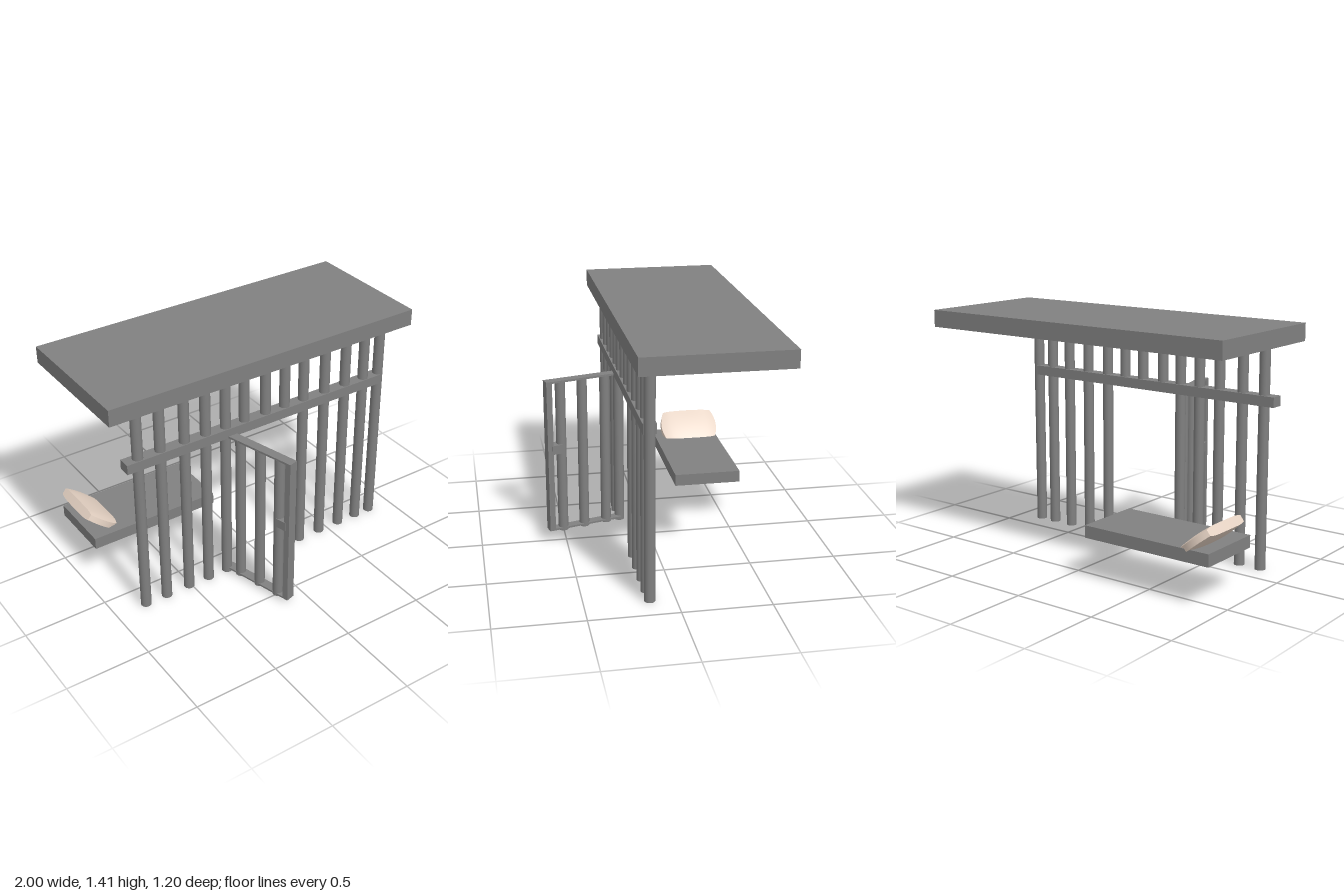
import * as THREE from 'three';

const grey = new THREE.MeshStandardMaterial({ color: 0x808080 });
const cream = new THREE.MeshStandardMaterial({ color: 0xe6d3c4 });

// Box given by its minimum and maximum corners
function box(name, x0, x1, y0, y1, z0, z1) {
  const mesh = new THREE.Mesh(new THREE.BoxGeometry(x1 - x0, y1 - y0, z1 - z0), grey);
  mesh.position.set((x0 + x1) / 2, (y0 + y1) / 2, (z0 + z1) / 2);
  mesh.name = name;
  return mesh;
}

// Upright round bar
function bar(name, x, z, y0, y1, r = 0.031) {
  const mesh = new THREE.Mesh(new THREE.CylinderGeometry(r, r, y1 - y0, 16), grey);
  mesh.position.set(x, (y0 + y1) / 2, z);
  mesh.name = name;
  return mesh;
}

// Cushion: a subdivided box, thick in the middle, with bowed sides
function makePillow() {
  const L = 0.21, T = 0.072, W = 0.32;
  const geo = new THREE.BoxGeometry(L, T, W, 8, 2, 12);
  const p = geo.attributes.position;
  for (let i = 0; i < p.count; i++) {
    const u = p.getX(i) / (L / 2), v = p.getY(i) / (T / 2), w = p.getZ(i) / (W / 2);
    const thick = 0.78 + 0.22 * (1 - u * u) * (1 - w * w);
    p.setXYZ(i,
      (L / 2) * u * (1 + 0.05 * (1 - w * w)),
      (T / 2) * v * thick * (1 - 0.35 * w ** 6),
      (W / 2) * w * (1 + 0.15 * (1 - u * u)));
  }
  geo.computeVertexNormals();
  const pillow = new THREE.Mesh(geo, cream);
  pillow.name = 'pillow';
  pillow.position.set(-0.845, 0.357, -0.418);
  pillow.rotation.z = -0.67;
  return pillow;
}

// Open door, built along +z from its hinge
function makeDoor() {
  const door = new THREE.Group();
  door.name = 'door';
  const h = 0.028;
  door.add(
    box('doorEndPost', -h, h, 0.02, 0.962, 0.43, 0.465),
    box('doorTopRail', -h, h, 0.95, 0.962, 0, 0.465),
    box('doorBottomRail', -h, h, 0.02, 0.031, 0, 0.465),
    box('doorLock', -0.033, 0.033, 0.512, 0.567, 0.375, 0.44));
  for (const z of [0.09, 0.234, 0.371]) door.add(bar('doorBar', 0, z, 0.01, 0.955, 0.03));
  door.position.set(-0.228, 0, 0.145);
  door.rotation.y = 0.265;
  return door;
}

export function createModel() {
  const model = new THREE.Group();
  model.name = 'cell';

  // Roof slab, cross rail and bunk
  model.add(
    box('roof', -1, 1, 1.313, 1.412, -0.59, 0.228),
    box('crossRail', -0.888, 0.835, 0.95, 1.008, 0.104, 0.178),
    box('bunk', -0.937, -0.125, 0.242, 0.313, -0.59, -0.188));

  // Full-height bars on both sides of the doorway
  for (const x of [-0.805, -0.666, -0.513, -0.377, -0.246, 0.289, 0.441, 0.591, 0.727, 0.84])
    model.add(bar('bar', x, 0.143, 0, 1.32));

  // Short bars above the doorway
  for (const x of [-0.12, 0.024, 0.156]) model.add(bar('shortBar', x, 0.143, 0.98, 1.32));

  model.add(makeDoor(), makePillow());
  return model;
}
